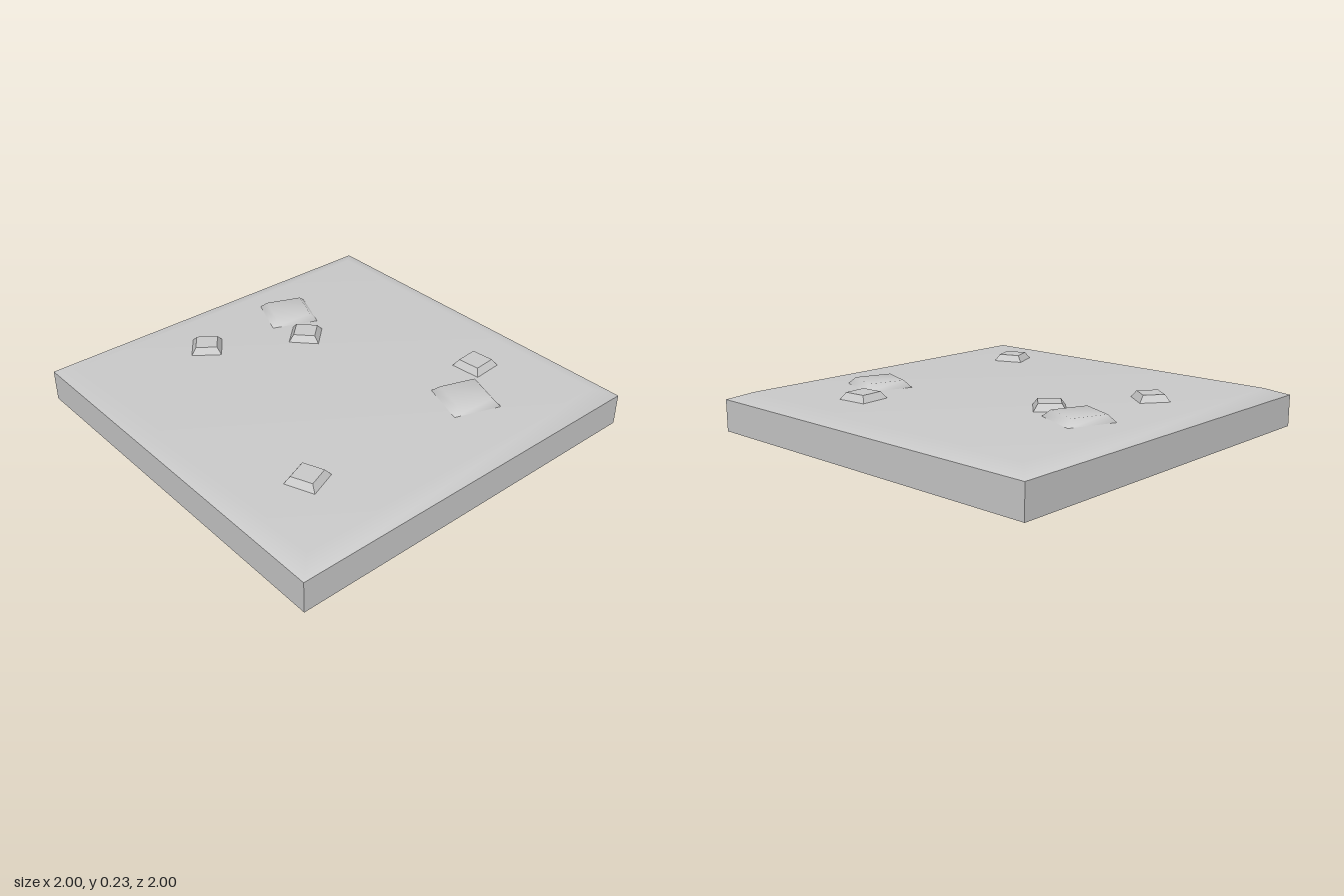
import * as THREE from 'three';

// Open-bottomed square frustum; shared corners give softly blended edges
function bevelledCap(size, inset, y0, y1, smooth) {
  const corners = [[-1, -1], [-1, 1], [1, 1], [1, -1]];
  const positions = [];
  for (const [half, y] of [[size / 2, y0], [size / 2 - inset, y1]]) {
    for (const [x, z] of corners) positions.push(x * half, y, z * half);
  }
  const index = [4, 5, 6, 4, 6, 7];
  for (let i = 0; i < 4; i++) {
    const j = (i + 1) % 4;
    index.push(i, j, j + 4, i, j + 4, i + 4);
  }
  let geometry = new THREE.BufferGeometry();
  geometry.setAttribute('position', new THREE.Float32BufferAttribute(positions, 3));
  geometry.setIndex(index);
  if (!smooth) geometry = geometry.toNonIndexed();
  geometry.computeVertexNormals();
  return geometry;
}

export function createModel() {
  const group = new THREE.Group();
  const stone = new THREE.MeshStandardMaterial({ color: 0xcccccc });
  stone.name = 'grey stone';

  const add = (name, geometry) => {
    const mesh = new THREE.Mesh(geometry, stone);
    mesh.name = name;
    group.add(mesh);
    return mesh;
  };

  // Square floor slab with a softly bevelled top
  const base = 0.163, top = 0.2;
  add('slabBase', new THREE.BoxGeometry(2, base, 2)).position.y = base / 2;
  add('slabTop', bevelledCap(2, 0.1, base, top, true));

  // Raised stones: x, z, size, turn in degrees
  const smallStones = [
    [-0.305, -0.635, 0.152, -37],
    [0.161, -0.396, 0.155, -47],
    [-0.605, 0.547, 0.155, 22],
    [0.626, 0.388, 0.16, 5],
  ];
  const largeStones = [
    [0.237, -0.635, 0.247, -22],
    [0.373, 0.564, 0.248, -19],
  ];
  const place = (name, list, inset, smooth) => list.forEach(([x, z, size, turn], i) => {
    const mesh = add(name + (i + 1), bevelledCap(size, inset, 0, 0.034, smooth));
    mesh.position.set(x, top, z);
    mesh.rotation.y = THREE.MathUtils.degToRad(turn);
  });
  place('smallStone', smallStones, 0.022, false);
  place('largeStone', largeStones, 0.03, true);

  return group;
}
